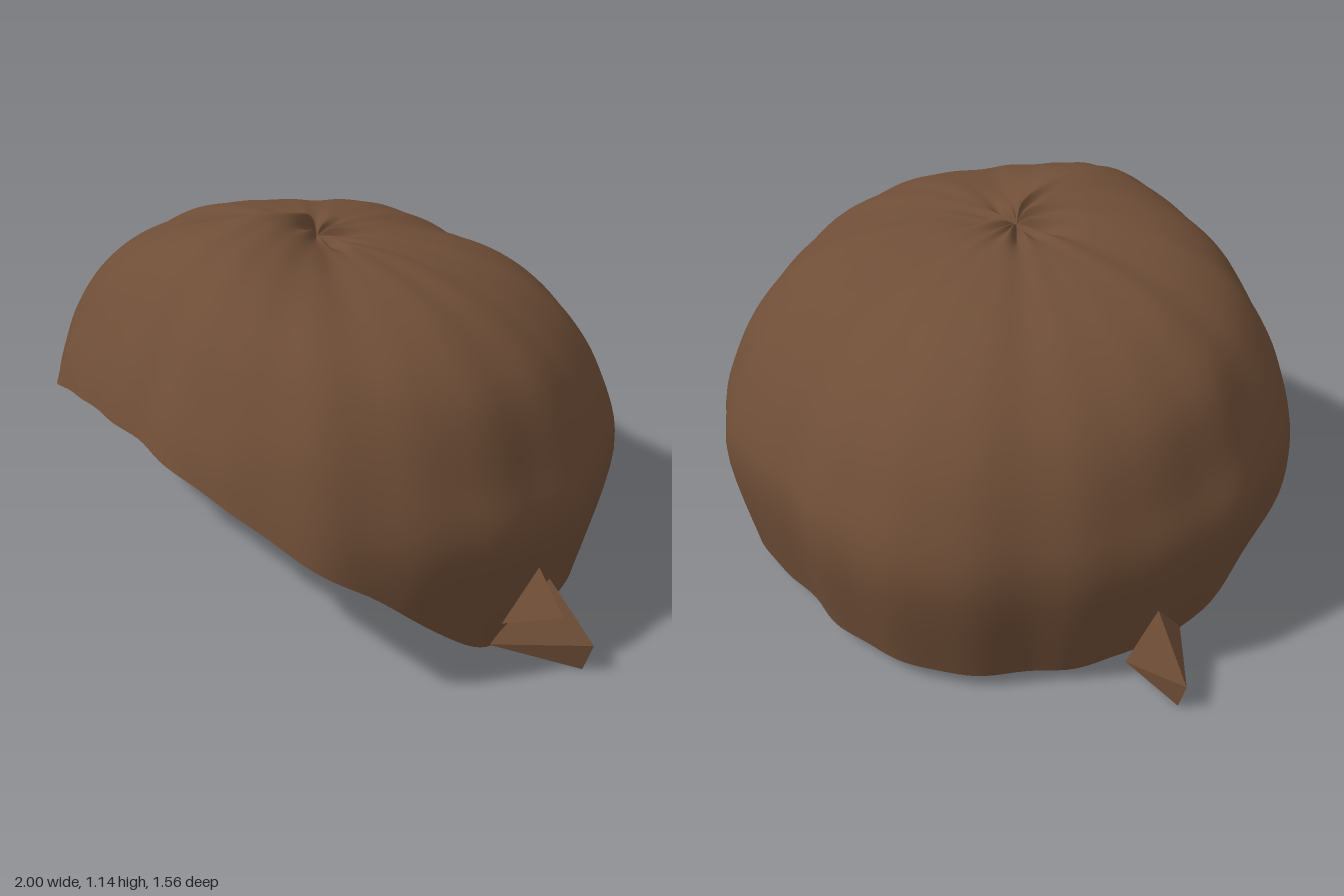
import * as THREE from 'three';

// Profiles from crown to rim as [radius, height], one every 30 degrees from front to back
const CROWN = [0, 1.04];
const PROFILES = [
  [[.03, 1.10], [.18, 1.145], [.33, 1.125], [.44, 1.07], [.53, .985], [.62, .85], [.67, .75], [.70, .67]],
  [[.05, 1.08], [.20, 1.11], [.37, 1.08], [.50, 1.02], [.60, .93], [.68, .80], [.73, .70], [.76, .61]],
  [[.06, 1.05], [.22, 1.055], [.41, 1.025], [.56, .97], [.68, .88], [.78, .73], [.84, .55], [.855, .40]],
  [[.06, 1.04], [.22, 1.05], [.42, 1.02], [.60, .95], [.75, .82], [.83, .62], [.88, .42], [.785, .06]],
  [[.06, 1.04], [.22, 1.04], [.42, 1.00], [.60, .92], [.75, .78], [.84, .59], [.87, .38], [.80, .05]],
  [[.06, 1.045], [.22, 1.04], [.42, 1.00], [.58, .93], [.72, .81], [.83, .64], [.90, .40], [.83, .055]],
  [[.06, 1.05], [.20, 1.04], [.38, .99], [.55, .905], [.69, .77], [.79, .60], [.84, .40], [.78, .06]],
].map(p => [CROWN, ...p]);
const CROWN_Z = 0.07;

const spline = (a, b, c, d, f) =>
  0.5 * (2 * b + (c - a) * f + (2 * a - 5 * b + 4 * c - d) * f * f + (3 * b - a - 3 * c + d) * f ** 3);

// Blend the mirrored profiles around the head, then down each one
function profileAt(angle, t) {
  const u = angle / (Math.PI / 6), i = Math.floor(u);
  const ring = k => {
    const m = ((k % 12) + 12) % 12;
    return PROFILES[m > 6 ? 12 - m : m];
  };
  const value = (row, axis) =>
    spline(...[-1, 0, 1, 2].map(o => ring(i + o)[row][axis]), u - i);
  const v = t * 8, j = Math.min(7, Math.floor(v));
  const along = axis => spline(
    ...[-1, 0, 1, 2].map(o => value(Math.max(0, Math.min(8, j + o)), axis)), v - j);
  return [along(0), along(1)];
}

// Open shell of hair with soft locks towards the rim and short creases at the crown
function hairShell() {
  const around = 168, down = 48, pos = [], idx = [];
  for (let j = 0; j <= down; j++) {
    const t = j / down;
    for (let i = 0; i < around; i++) {
      const a = (i / around) * Math.PI * 2;
      const [r, y] = profileAt(a, t);
      const locks = t * (0.005 * Math.sin(21 * a + 0.6) + 0.006 * Math.sin(13 * a + 2));
      const pinch = Math.exp(-(((t - 0.12) / 0.08) ** 2)) * Math.min(1, t * 12);
      const creases = pinch * (0.009 * Math.sin(12 * a) + 0.006 * Math.sin(7 * a + 1));
      const rr = r * (1 + locks);
      pos.push(rr * Math.sin(a), Math.max(0.05, y + creases + locks * (1 - t)), CROWN_Z + rr * Math.cos(a));
      if (j < down) {
        const n = (i + 1) % around, p = j * around;
        if (j > 0) idx.push(p + i, p + around + i, p + n);
        idx.push(p + n, p + around + i, p + around + n);
      }
    }
  }
  const g = new THREE.BufferGeometry();
  g.setAttribute('position', new THREE.Float32BufferAttribute(pos, 3));
  g.setIndex(idx);
  g.computeVertexNormals();
  return g;
}

// Sharp faces from a list of triangles
function facets(points, tris) {
  const g = new THREE.BufferGeometry();
  g.setAttribute('position', new THREE.Float32BufferAttribute(tris.flat().flatMap(k => points[k]), 3));
  g.computeVertexNormals();
  return g;
}

export function createModel() {
  const model = new THREE.Group();
  model.name = 'hair';
  const brown = new THREE.MeshStandardMaterial({ color: 0x6f4e37, side: THREE.DoubleSide });
  brown.name = 'brown hair';
  const add = (name, geometry) => {
    const mesh = new THREE.Mesh(geometry, brown);
    mesh.name = name;
    model.add(mesh);
  };

  add('hairShell', hairShell());

  // Flared tufts beside the ears, with a blunt outer edge
  for (const s of [1, -1]) {
    const p = [[.845, .25, -.10], [.78, .06, .06], [.79, .055, -.16], [1, .1, -.13], [.97, .005, -.125]]
      .map(([x, y, z]) => [x * s, y, z]);
    const tris = [[0, 1, 3], [1, 4, 3], [0, 3, 2], [2, 3, 4]];
    add(s > 0 ? 'leftTuft' : 'rightTuft',
      facets(p, s > 0 ? tris : tris.map(([a, b, c]) => [a, c, b])));
  }

  // Small extra spike above the left tuft
  add('leftSpike', facets(
    [[.86, .32, -.04], [.83, .16, .06], [.85, .14, -.10], [.97, .22, -.03]],
    [[0, 1, 3], [1, 2, 3], [2, 0, 3]]));

  return model;
}
